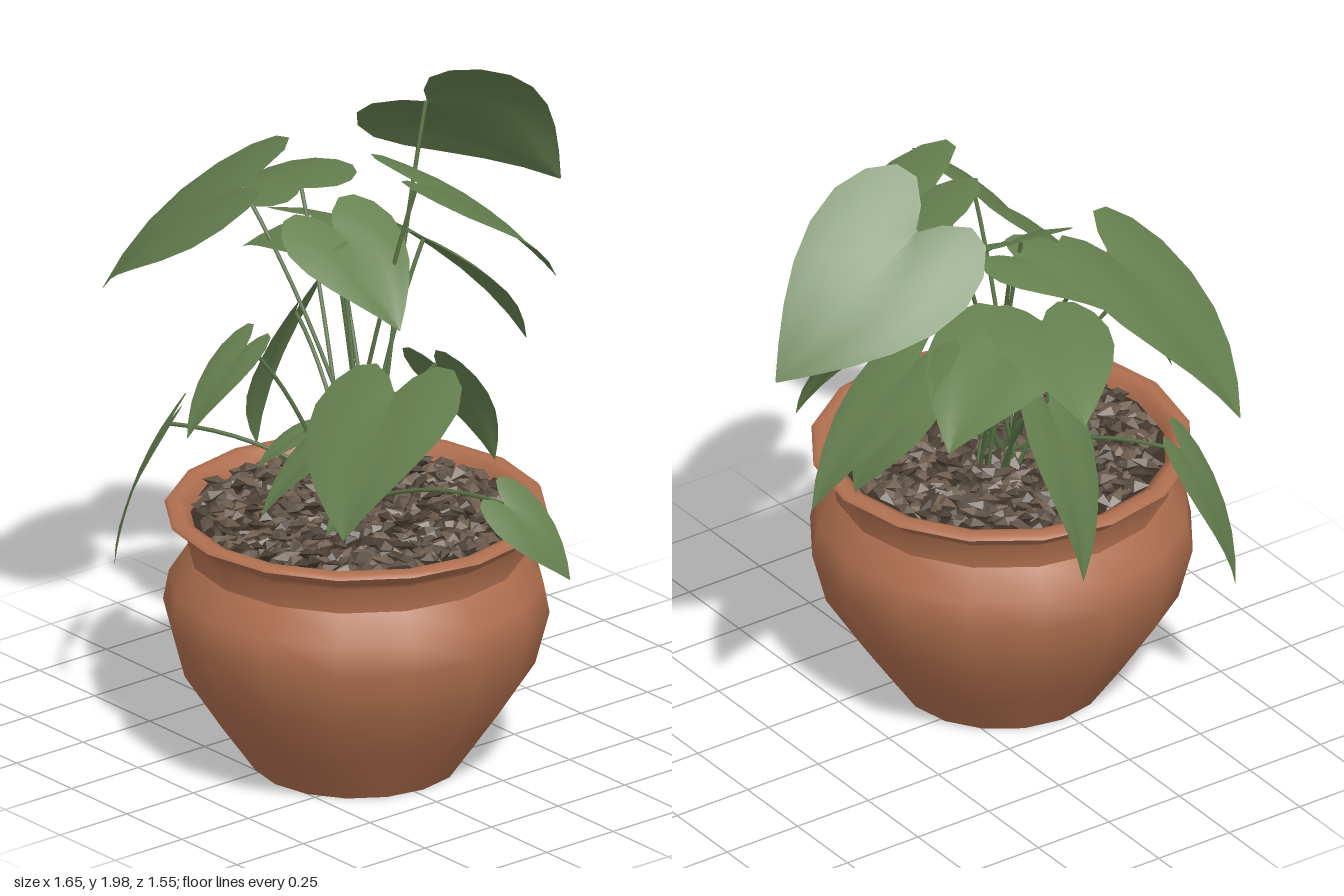
import * as THREE from 'three';
import { mergeGeometries } from 'three/addons/utils/BufferGeometryUtils.js';

const CX = 0.1, CZ = 0.22; // pot axis

// half outline of a heart-shaped leaf: along the midrib, across
const HEART = [[0, 0.02], [-0.1, 0.16], [-0.19, 0.42], [-0.17, 0.68], [-0.05, 0.9], [0.12, 1],
  [0.32, 0.94], [0.52, 0.76], [0.7, 0.52], [0.86, 0.26], [1, 0.01]];

// each leaf: where the stalk meets it (x, y, z), its tip (x, y, z), roll about the midrib, half width
const LEAVES = [
  [-0.2, 1.83, -0.29, -0.17, 1.47, -0.77, -0.72, 0.26],
  [0.1, 1.74, -0.01, 0.22, 1.38, -0.43, 0, 0.22],
  [-0.35, 1.47, -0.06, -0.5, 1.26, -0.39, 0, 0.22],
  [-0.2, 1.4, -0.28, -0.18, 1, -0.65, 0, 0.15],
  [-0.44, 1.55, -0.02, -0.83, 1.43, -0.14, -0.15, 0.19],
  [-0.37, 1.65, 0.26, -0.8, 1.24, 0.43, -0.27, 0.28],
  [0.53, 1.34, 0.43, 0.67, 1, 0.74, 0.3, 0.27],
  [-0.1, 1.59, 0.15, 0.2, 1.35, 0.14, 0.1, 0.19],
  [-0.1, 1.55, 0.12, -0.38, 1.46, 0.25, -0.05, 0.15],
  [-0.13, 1.28, 0.44, -0.16, 1.03, 0.64, 0.05, 0.1],
  [0.16, 1.1, 0.27, 0.08, 0.84, 0.56, 0.15, 0.13],
  [0.05, 1.13, -0.12, 0.1, 0.8, -0.3, -0.43, 0.13],
  [-0.38, 1.2, 0.05, -0.58, 0.72, 0.03, -0.55, 0.16],
  [-0.45, 0.94, 0.47, -0.55, 0.5, 0.59, 0.12, 0.11],
  [0.6, 0.92, 0.08, 0.72, 0.68, -0.07, 0.65, 0.1],
  [0.34, 0.96, 0.38, 0.3, 0.83, 0.5, 0, 0.08],
  [-0.1, 0.97, 0.25, -0.17, 0.86, 0.37, 0, 0.07],
];

function leafGeometry(base, tip, roll, w) {
  const dir = tip.clone().sub(base), len = dir.length();
  dir.normalize();
  const side = new THREE.Vector3(dir.z, 0, -dir.x).normalize().applyAxisAngle(dir, roll);
  const up = new THREE.Vector3().crossVectors(dir, side);
  const pos = [], index = [], cols = 7;
  HEART.forEach(([along, across], i) => {
    const mid = i / (HEART.length - 1);
    for (let j = 0; j < cols; j++) {
      const k = (j - 3) / 3, x = k * across;
      const t = THREE.MathUtils.lerp(mid, along, Math.abs(k));
      // arched midrib, raised beside the rib, level edges
      const h = len * 0.22 * t * (1 - t) + w * 0.24 * (Math.abs(x) - x * x);
      const p = base.clone().addScaledVector(dir, t * len).addScaledVector(side, x * w).addScaledVector(up, h);
      pos.push(p.x, p.y, p.z);
      if (i && j) {
        const q = i * cols + j;
        index.push(q - cols - 1, q - 1, q - cols, q - cols, q - 1, q);
      }
    }
  });
  const g = new THREE.BufferGeometry();
  g.setAttribute('position', new THREE.Float32BufferAttribute(pos, 3));
  g.setIndex(index);
  g.computeVertexNormals();
  return g;
}

function stalkGeometry(end, i) {
  const a = i * 2.4;
  const start = new THREE.Vector3(0.05 + 0.06 * Math.cos(a), 0.74, 0.17 + 0.06 * Math.sin(a));
  const mid = start.clone().lerp(end, 0.45);
  const reach = Math.hypot(end.x - start.x, end.z - start.z);
  mid.y = Math.min(mid.y + 0.1 + 0.12 * reach, end.y + 0.02);
  return new THREE.TubeGeometry(new THREE.QuadraticBezierCurve3(start, mid, end), 10, 0.0065, 5);
}

export function createModel() {
  const model = new THREE.Group();
  const mat = (name, color, side = THREE.FrontSide) => {
    const m = new THREE.MeshStandardMaterial({ color, side });
    m.name = name;
    return m;
  };
  const clay = mat('terracotta', 0xb06f4f, THREE.DoubleSide);
  const leafGreen = mat('leaf green', 0x668150, THREE.DoubleSide);
  const stalkGreen = mat('stalk green', 0x587245);
  const earth = mat('dark earth', 0x3a3027);
  const chipColours = [mat('brown chip', 0x6e5d4d), mat('grey brown chip', 0x5d5043), mat('deep brown chip', 0x4a3e33)];
  chipColours.forEach((m) => { m.flatShading = true; });
  const add = (name, geometry, material, parent = model) => {
    const mesh = new THREE.Mesh(geometry, material);
    mesh.name = name;
    parent.add(mesh);
    return mesh;
  };

  // pot, turned in sections so that the neck and foot stay crisp
  const pot = new THREE.Group();
  pot.name = 'pot';
  pot.position.set(CX, 0, CZ);
  model.add(pot);
  const turn = (name, pts) =>
    add(name, new THREE.LatheGeometry(pts.map((p) => new THREE.Vector2(...p)), 16), clay, pot);
  turn('potBase', [[0, 0], [0.305, 0]]);
  turn('potBody', [[0.305, 0], [0.41, 0.15], [0.52, 0.32], [0.562, 0.48], [0.545, 0.57], [0.49, 0.655]]);
  turn('potNeck', [[0.49, 0.655], [0.495, 0.73], [0.525, 0.755], [0.558, 0.785]]);
  turn('potRim', [[0.558, 0.785], [0.55, 0.797], [0.52, 0.8], [0.49, 0.785], [0.475, 0.73]]);

  // soil with a layer of bark chips
  const soil = add('soil', new THREE.CircleGeometry(0.485, 24).rotateX(-Math.PI / 2), earth);
  soil.position.set(CX, 0.755, CZ);
  let seed = 7;
  const rnd = () => (seed = (seed * 16807) % 2147483647) / 2147483647;
  const chips = [[], [], []];
  const count = 480;
  for (let i = 0; i < count; i++) {
    const r = 0.455 * Math.sqrt((i + 0.5) / count), a = i * 2.39996;
    const g = new THREE.OctahedronGeometry(1, 0);
    g.scale(0.03 + 0.02 * rnd(), 0.012 + 0.008 * rnd(), 0.018 + 0.012 * rnd());
    g.rotateX(rnd() - 0.5).rotateZ((rnd() - 0.5) * 0.9).rotateY(rnd() * 6.28);
    g.translate(CX + r * Math.cos(a), 0.765 + 0.025 * rnd(), CZ + r * Math.sin(a));
    chips[Math.floor(rnd() * 3)].push(g);
  }
  chips.forEach((list, i) => add('barkChips' + (i + 1), mergeGeometries(list), chipColours[i]));

  // foliage
  LEAVES.forEach((leaf, i) => {
    const base = new THREE.Vector3().fromArray(leaf), tip = new THREE.Vector3().fromArray(leaf, 3);
    const frond = new THREE.Group();
    frond.name = 'frond' + (i + 1);
    add('leaf', leafGeometry(base, tip, leaf[6], leaf[7]), leafGreen, frond);
    add('stalk', stalkGeometry(base, i), stalkGreen, frond);
    model.add(frond);
  });
  return model;
}
